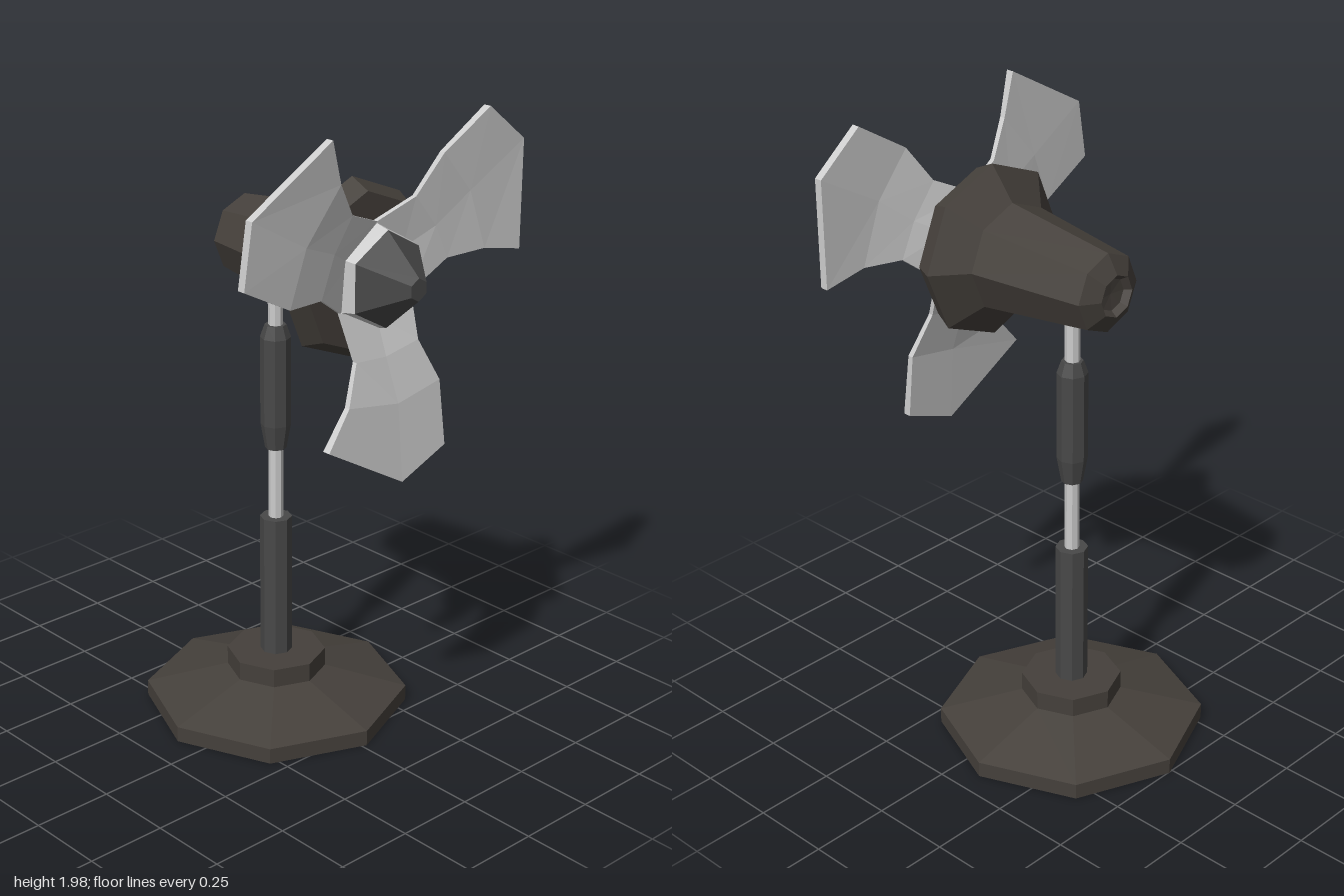
import * as THREE from 'three';

const material = (color) => new THREE.MeshStandardMaterial({ color, flatShading: true });

// Faceted turned part; profile is [radius, height] from bottom to top
function turned(name, profile, sides, mat) {
  const points = profile.map(([r, h]) => new THREE.Vector2(r, h));
  const mesh = new THREE.Mesh(new THREE.LatheGeometry(points, sides), mat);
  mesh.name = name;
  return mesh;
}

// Blade hanging down -y: rows of left, middle, right points [x, y], with depth and thickness
function bladeGeometry(lean) {
  const rows = [
    { p: [[-0.01, 0], [0, 0], [0.01, 0]], z: 0.33, t: 0.015 },
    { p: [[-0.139, -0.08], [0, -0.12], [0.139, -0.08]], z: 0.325, t: 0.015 },
    { p: [[-0.118, -0.22], [0, -0.23], [0.13, -0.21]], z: 0.362, t: 0.015 },
    { p: [[-0.175, -0.335], [0.02, -0.37], [0.19, -0.34]], z: 0.388, t: 0.018 },
    { p: [[-0.268, -0.44], [0.02, -0.608], [0.197, -0.54]], z: 0.398, t: 0.025 },
  ];
  const positions = [];
  for (const { p, z, t } of rows) {
    const front = p.map(([x, y]) => [x, y, z + t / 2 - y * lean]);
    const back = p.map(([x, y]) => [x, y, z - t / 2 - y * lean]).reverse();
    positions.push(...front.flat(), ...back.flat());
  }
  const index = [];
  const quad = (a, b, c, d) => index.push(a, b, c, a, c, d);
  for (let i = 0; i < rows.length - 1; i++) {
    for (let j = 0; j < 6; j++) {
      const a = i * 6 + j, b = i * 6 + (j + 1) % 6;
      quad(a, a + 6, b + 6, b);
    }
  }
  // Tip edge
  const e = (rows.length - 1) * 6;
  quad(e, e + 5, e + 4, e + 1);
  quad(e + 1, e + 4, e + 3, e + 2);
  const geometry = new THREE.BufferGeometry();
  geometry.setAttribute('position', new THREE.Float32BufferAttribute(positions, 3));
  geometry.setIndex(index);
  geometry.computeVertexNormals();
  return geometry;
}

export function createModel() {
  const model = new THREE.Group();
  model.name = 'deskFan';
  const brown = material(0x45403b);
  const dark = material(0x484848);
  const grey = material(0xcccccc);

  // Stand
  const stand = new THREE.Group();
  stand.name = 'stand';
  stand.position.set(0.015, 0, -0.09);
  stand.add(
    turned('base', [[0, 0], [0.413, 0], [0.413, 0.05], [0.155, 0.12], [0.155, 0.18], [0, 0.18]], 8, brown),
    turned('lowerPost', [[0.05, 0.17], [0.05, 0.64], [0, 0.64]], 8, dark),
    turned('pole', [[0.023, 0.63], [0.023, 1.46]], 8, grey),
    turned('collar', [[0, 0.87], [0.033, 0.87], [0.047, 0.95], [0.047, 1.23], [0.033, 1.27], [0, 1.27]], 8, dark),
  );
  model.add(stand);

  // Head parts are turned about the z axis
  const head = new THREE.Group();
  head.name = 'head';
  head.position.set(0.015, 1.525, 0);
  const parts = [
    turned('motorHousing', [[0, -0.235], [0.05, -0.24], [0.065, -0.26], [0.122, -0.225], [0.17, 0.15],
      [0.27, 0.23], [0.24, 0.295], [0, 0.295]], 8, brown),
    turned('axle', [[0.06, 0.28], [0.06, 0.34]], 8, grey),
    turned('hub', [[0, 0.31], [0.16, 0.312], [0.145, 0.376]], 6, grey),
    turned('hubCone', [[0, 0.375], [0.145, 0.375], [0.034, 0.5], [0, 0.5]], 6, dark),
  ];
  for (const part of parts) {
    part.rotation.x = Math.PI / 2;
    head.add(part);
  }

  // Three blades, the lowest leaning slightly forward
  for (let i = 0; i < 3; i++) {
    const blade = new THREE.Mesh(bladeGeometry(i === 0 ? 0.035 : 0), grey);
    blade.name = 'blade';
    blade.rotation.z = (i * Math.PI * 2) / 3;
    head.add(blade);
  }
  model.add(head);
  return model;
}
